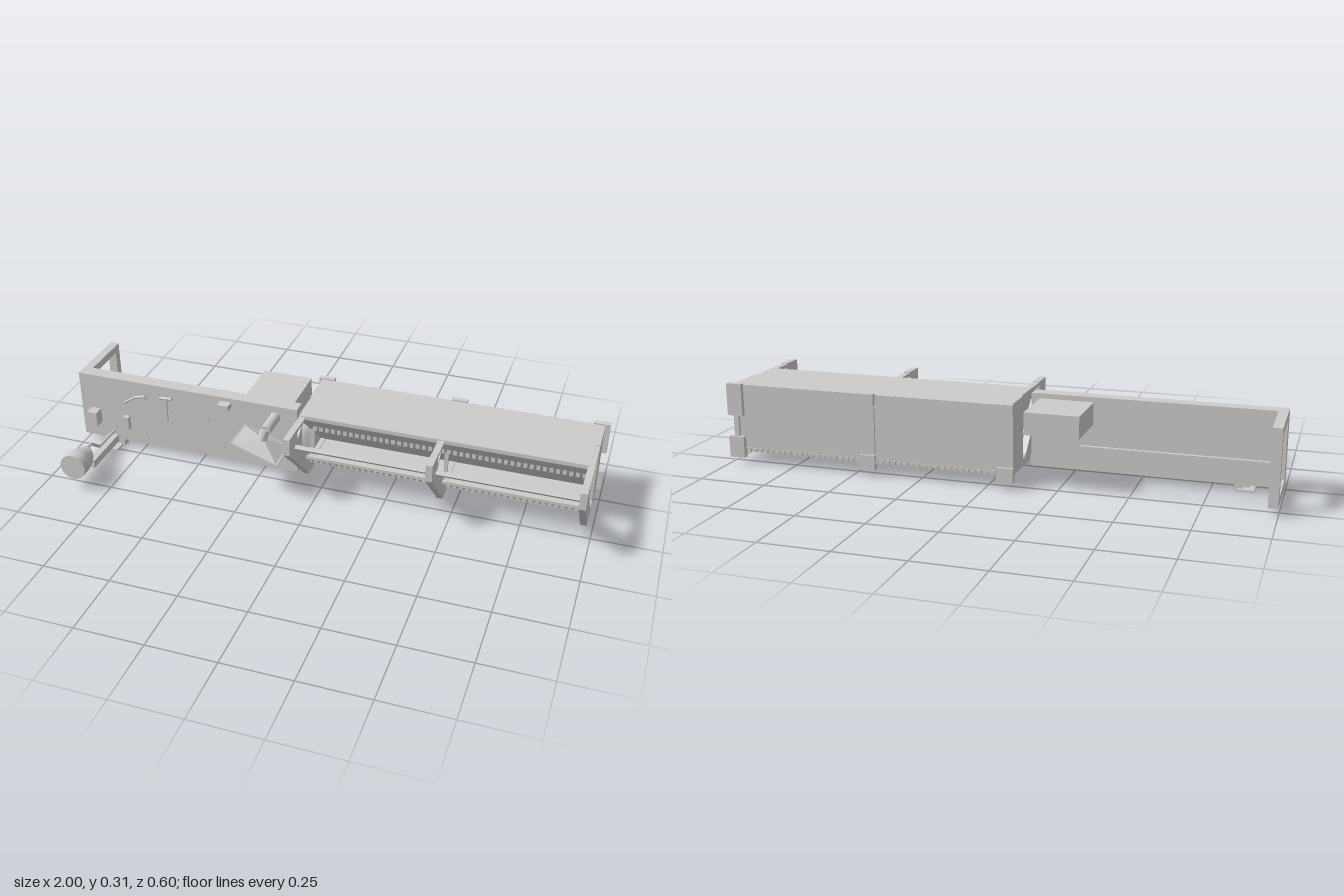
import * as THREE from 'three';

const mat = new THREE.MeshStandardMaterial({ color: 0xcccccc, flatShading: true, side: THREE.DoubleSide });
const smooth = new THREE.MeshStandardMaterial({ color: 0xcccccc, side: THREE.DoubleSide });

function add(parent, name, geometry, material = mat) {
  const m = new THREE.Mesh(geometry, material);
  m.name = name;
  parent.add(m);
  return m;
}

// Box given by its limits on each axis
function box(parent, name, x0, x1, y0, y1, z0, z1) {
  const m = add(parent, name, new THREE.BoxGeometry(x1 - x0, y1 - y0, z1 - z0));
  m.position.set((x0 + x1) / 2, (y0 + y1) / 2, (z0 + z1) / 2);
  return m;
}

// Side profile of [z, y] points, extruded from x0 to x1
function profile(parent, name, pts, x0, x1) {
  const shape = new THREE.Shape(pts.map(([z, y]) => new THREE.Vector2(-z, y)));
  const g = new THREE.ExtrudeGeometry(shape, { depth: x1 - x0, bevelEnabled: false });
  g.rotateY(Math.PI / 2).translate(x0, 0, 0);
  return add(parent, name, g);
}

// Straight rod between two points
function rod(parent, name, a, b, r, sides = 8) {
  const p = new THREE.Vector3(...a), q = new THREE.Vector3(...b);
  const m = add(parent, name, new THREE.CylinderGeometry(r, r, p.distanceTo(q), sides));
  m.position.copy(p).add(q).multiplyScalar(0.5);
  m.quaternion.setFromUnitVectors(new THREE.Vector3(0, 1, 0), q.sub(p).normalize());
  return m;
}

// Tube along straight runs between points
function tube(parent, name, pts, r) {
  const path = new THREE.CurvePath();
  const v = pts.map(p => new THREE.Vector3(...p));
  for (let i = 1; i < v.length; i++) path.add(new THREE.LineCurve3(v[i - 1], v[i]));
  return add(parent, name, new THREE.TubeGeometry(path, 40, r, 8), smooth);
}

function group(parent, name) {
  const g = new THREE.Group();
  g.name = name;
  parent.add(g);
  return g;
}

// Wedge-shaped hood with floor and end plates
function hood(parent) {
  const g = group(parent, 'hood');
  profile(g, 'hoodBody', [[0, 0.3], [-0.283, 0.3], [-0.283, 0.05], [-0.25, 0.05], [0, 0.285]], -0.085, 0.965);
  box(g, 'floor', -0.085, 0.965, 0.05, 0.062, -0.283, -0.083);
  box(g, 'endPlate', 0.95, 0.98, 0.05, 0.3, -0.283, -0.14);
  box(g, 'endPlate', -0.09, -0.08, 0.05, 0.3, -0.283, -0.14);
}

// Rows of small teeth and the slatted rack with its rails
function racks(parent) {
  const g = group(parent, 'racks');
  const x0 = -0.06, x1 = 0.957, n = 44;
  for (let i = 0; i < n; i++) {
    const x = x0 + (i + 0.5) * (x1 - x0) / n;
    box(g, 'backTooth', x - 0.005, x + 0.005, 0.048, 0.062, -0.289, -0.281);
    box(g, 'hoodTooth', x - 0.007, x + 0.007, 0.2, 0.226, -0.082, -0.07);
    rod(g, 'rackSlat', [x, 0.08, -0.05], [x, 0.122, -0.006], 0.007, 4);
  }
  box(g, 'lowerRail', x0, x1, 0.074, 0.086, -0.058, -0.046);
  box(g, 'upperRail', x0, x1, 0.115, 0.127, -0.013, -0.001);
  rod(g, 'frontRod', [-0.075, 0.235, 0.113], [0.975, 0.235, 0.113], 0.01, 6);
}

// One carrying bracket: slanted arm, struts, foot and back clamps
function bracket(parent, x, split) {
  const g = group(parent, 'bracket');
  const a = x - 0.012, b = x + 0.012;
  profile(g, 'slantedArm', [[0.175, 0.3], [0.09, 0.3], [0.09, 0.235], [-0.083, 0.07], [-0.083, 0.03],
    [-0.03, 0.03], [-0.015, 0.05], [0.175, 0.235]], a, b);
  box(g, 'topBar', a, b, 0.285, 0.297, -0.14, 0.09);
  box(g, 'bottomBar', a, b, 0.033, 0.066, -0.285, -0.08);
  box(g, 'post', a + 0.005, b - 0.005, 0.06, 0.285, -0.12, -0.112);
  profile(g, 'cornerStrut', [[0.09, 0.255], [0.09, 0.24], [0.03, 0.285], [0.045, 0.285]], a, b);
  if (split) {
    box(g, 'upperClamp', x - 0.03, x + 0.03, 0.185, 0.305, -0.3, -0.28);
    box(g, 'lowerClamp', x - 0.03, x + 0.03, 0.025, 0.105, -0.3, -0.28);
    box(g, 'clampBar', x - 0.01, x + 0.01, 0.1, 0.19, -0.293, -0.28);
  } else {
    box(g, 'backStrap', x - 0.028, x + 0.028, 0.03, 0.303, -0.29, -0.28);
    box(g, 'strapTop', x - 0.03, x + 0.03, 0.265, 0.305, -0.3, -0.28);
    box(g, 'strapFoot', x - 0.03, x + 0.03, 0.025, 0.08, -0.3, -0.28);
  }
}

// Long slab with its end frame, rear rod and rear box
function panelSection(parent) {
  const g = group(parent, 'panelSection');
  box(g, 'panel', -1, -0.105, 0.03, 0.3, -0.083, -0.03);
  box(g, 'frameTop', -1, -0.966, 0.27, 0.3, -0.3, -0.08);
  box(g, 'frameBottom', -1, -0.966, 0.03, 0.06, -0.3, -0.08);
  box(g, 'framePost', -1, -0.966, 0.06, 0.27, -0.3, -0.27);
  box(g, 'rearRod', -0.968, -0.33, 0.16, 0.175, -0.272, -0.258);
  box(g, 'rearBox', -0.335, -0.14, 0.205, 0.285, -0.3, -0.095);
}

// Cup with a slanted back, carried on a beam and a bent tube
function cupArm(parent) {
  const g = group(parent, 'cupArm');
  box(g, 'beam', -0.885, -0.855, 0.018, 0.048, -0.07, 0.175);
  rod(g, 'beamRod', [-0.87, 0.043, 0.17], [-0.87, 0.043, 0.3], 0.003);
  tube(g, 'bentTube', [[-0.87, 0.065, -0.04], [-0.87, 0.067, 0.1], [-0.87, 0.112, 0.155], [-0.87, 0.114, 0.21]], 0.006);
  const cup = new THREE.CylinderGeometry(0.05, 0.038, 0.05, 24, 1);
  cup.rotateX(Math.PI / 2).translate(-0.87, 0.097, 0.24);
  const p = cup.attributes.position;
  for (let i = 0; i < p.count; i++) {
    // slant the rear ring and pull it slightly down
    if (p.getZ(i) < 0.24) {
      p.setZ(i, 0.218 - (p.getY(i) - 0.097) * 0.72);
      p.setY(i, p.getY(i) - 0.012);
    }
  }
  cup.computeVertexNormals();
  add(g, 'cupBack', cup, smooth);
  rod(g, 'cupFront', [-0.87, 0.097, 0.262], [-0.87, 0.097, 0.304], 0.05, 24);
  box(g, 'footPlate', -0.9, -0.84, 0.002, 0.009, -0.075, 0.018);
  box(g, 'footBlock', -0.86, -0.83, 0, 0.03, -0.06, -0.03);
}

// Tilted pyramid shade on a short tube
function shadeArm(parent) {
  const g = group(parent, 'shadeArm');
  rod(g, 'shadeTube', [-0.19, 0.255, -0.04], [-0.19, 0.255, 0.075], 0.02, 16);
  rod(g, 'shadeNeck', [-0.19, 0.262, 0.075], [-0.2, 0.22, 0.09], 0.018, 12);
  const geo = new THREE.CylinderGeometry(0.1, Math.SQRT1_2, 0.03, 4, 1);
  geo.rotateY(Math.PI / 4);
  const shade = add(g, 'shade', geo);
  shade.scale.set(0.19, 1, 0.14);
  shade.position.set(-0.2, 0.216, 0.092);
  shade.rotation.z = -0.33;
  const rim = add(g, 'shadeRim', new THREE.BoxGeometry(0.19, 0.01, 0.14));
  rim.position.set(-0.205, 0.2, 0.092);
  rim.rotation.z = -0.33;
}

// Small fittings on the panel face
function fittings(parent) {
  const g = group(parent, 'panelFittings');
  box(g, 'switchBox', -0.96, -0.92, 0.095, 0.155, -0.03, 0.012);
  box(g, 'upperBox', -0.41, -0.365, 0.265, 0.285, -0.03, 0.005);
  box(g, 'lowerBox', -0.82, -0.795, 0.09, 0.145, -0.03, -0.01);
  rod(g, 'hookStem', [-0.63, 0.16, -0.022], [-0.63, 0.26, -0.022], 0.004);
  rod(g, 'hookBar', [-0.655, 0.255, -0.02], [-0.605, 0.26, -0.02], 0.006);
  tube(g, 'curvedHandle', [[-0.81, 0.205, -0.025], [-0.76, 0.24, -0.02], [-0.72, 0.25, -0.02], [-0.715, 0.235, -0.02]], 0.005);
  const pegs = [[-0.73, 0.07], [-0.46, 0.18], [-0.4, 0.08], [-0.15, 0.08], [-0.16, 0.12], [-0.28, 0.24]];
  for (const [x, y] of pegs) rod(g, 'peg', [x - 0.006, y + 0.012, -0.028], [x + 0.006, y - 0.012, -0.024], 0.004, 6);
}

export function createModel() {
  const model = new THREE.Group();
  model.name = 'workStation';
  hood(model);
  racks(model);
  bracket(model, -0.072, false);
  bracket(model, 0.445, false);
  bracket(model, 0.968, true);
  panelSection(model);
  cupArm(model);
  shadeArm(model);
  fittings(model);
  return model;
}
